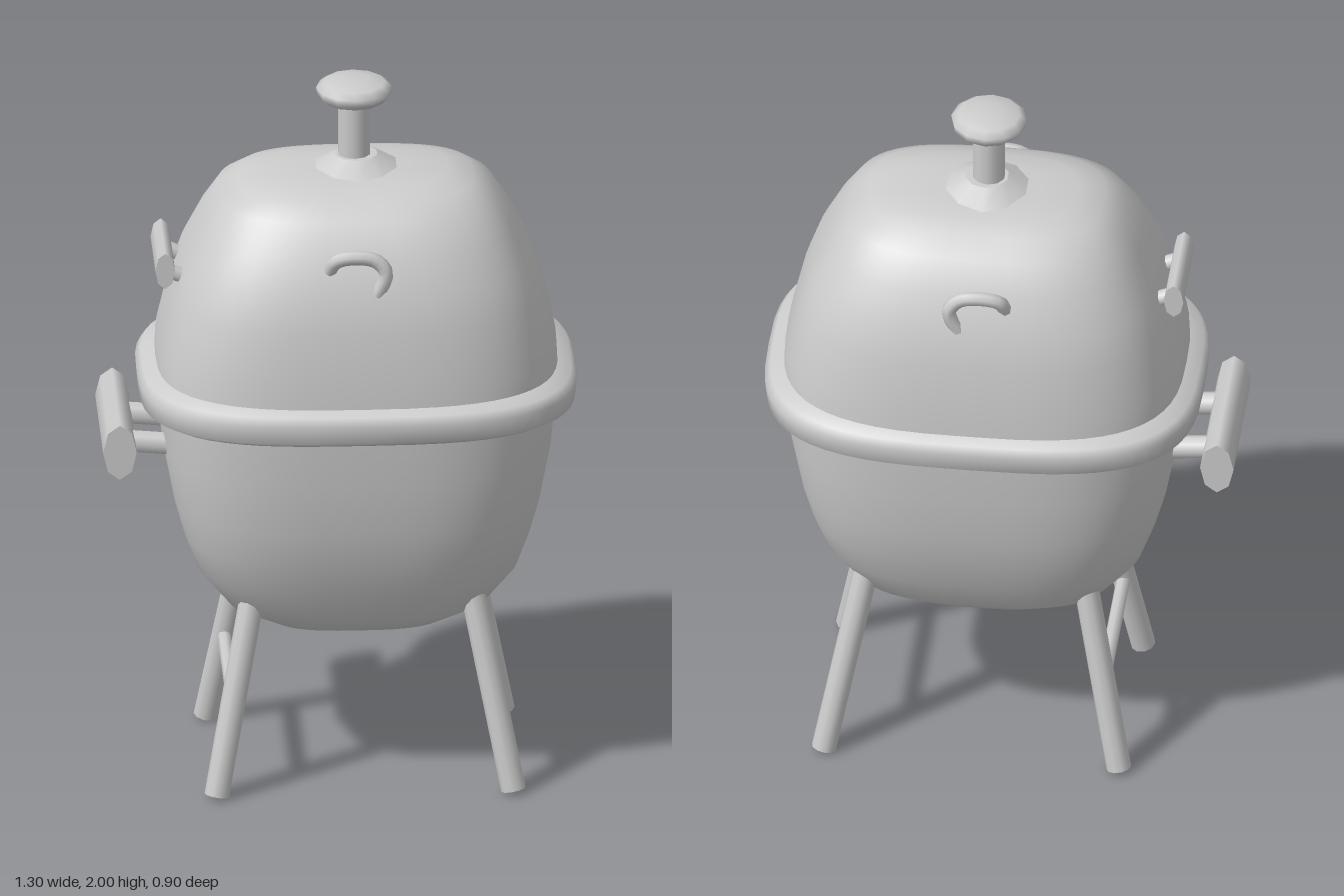
import * as THREE from 'three';

const CX = 0.05; // centre line of the kettle

// Rounded-rectangle loft: rings are [y, half width, half depth], listed bottom to top.
function loft(rings, n = 56, power = 3) {
  const pos = [], index = [];
  const s = (v) => Math.sign(v) * Math.pow(Math.abs(v), 2 / power);
  for (const [y, a, b] of rings) {
    for (let i = 0; i < n; i++) {
      const t = (i / n) * Math.PI * 2;
      pos.push(CX + a * s(Math.cos(t)), y, b * s(Math.sin(t)));
    }
  }
  for (let r = 0; r < rings.length - 1; r++) {
    for (let i = 0; i < n; i++) {
      const j = (i + 1) % n, p = r * n, q = p + n;
      index.push(p + i, q + i, p + j, p + j, q + i, q + j);
    }
  }
  const g = new THREE.BufferGeometry();
  g.setAttribute('position', new THREE.Float32BufferAttribute(pos, 3));
  g.setIndex(index);
  g.computeVertexNormals();
  return g;
}

export function createModel() {
  const group = new THREE.Group();
  const metal = new THREE.MeshStandardMaterial({ color: 0xcccccc });
  metal.name = 'light grey metal';

  const add = (name, geometry, x = 0, y = 0, z = 0) => {
    const m = new THREE.Mesh(geometry, metal);
    m.name = name;
    m.position.set(x, y, z);
    group.add(m);
    return m;
  };
  // Round bar between two points
  const bar = (name, a, b, r, sides = 10) => {
    const p = new THREE.Vector3(...a), q = new THREE.Vector3(...b);
    const m = add(name, new THREE.CylinderGeometry(r, r, p.distanceTo(q), sides));
    m.position.copy(p).lerp(q, 0.5);
    m.quaternion.setFromUnitVectors(new THREE.Vector3(0, 1, 0), q.sub(p).normalize());
    return m;
  };

  // Kettle shells
  add('bowl', loft([
    [0.43, 0.001, 0.001], [0.432, 0.15, 0.12], [0.445, 0.25, 0.19], [0.5, 0.36, 0.255],
    [0.6, 0.44, 0.305], [0.7, 0.475, 0.34], [0.8, 0.502, 0.365], [0.95, 0.53, 0.385], [1.12, 0.545, 0.395],
  ]));
  add('lid', loft([
    [1.15, 0.55, 0.41], [1.25, 0.545, 0.405], [1.4, 0.51, 0.388], [1.5, 0.475, 0.36],
    [1.6, 0.425, 0.318], [1.68, 0.375, 0.262], [1.72, 0.32, 0.205], [1.74, 0.25, 0.15],
    [1.748, 0.14, 0.09], [1.75, 0.001, 0.001],
  ]));
  add('rim', loft([
    [1.1, 0.535, 0.385], [1.09, 0.57, 0.425], [1.105, 0.596, 0.446], [1.155, 0.6, 0.45],
    [1.178, 0.585, 0.437], [1.195, 0.54, 0.395],
  ], 56, 3.1));

  // Top knob and vent
  const knob = [[0, 1.94], [0.085, 1.94], [0.1, 1.955], [0.104, 1.975], [0.085, 1.99], [0.04, 1.999], [0, 2]];
  add('knobCap', new THREE.LatheGeometry(knob.map((p) => new THREE.Vector2(...p)), 12), CX - 0.005, 0, 0);
  bar('knobStem', [CX - 0.005, 1.72, 0], [CX - 0.005, 1.95, 0], 0.045);
  add('ventCollar', new THREE.CylinderGeometry(0.06, 0.13, 0.04, 10), CX, 1.76, 0);

  // Legs and the stretchers joining each pair
  for (const [top, foot, side] of [[-0.235, -0.345, 'right'], [0.35, 0.465, 'left']]) {
    for (const s of [1, -1]) {
      bar(`${side}${s > 0 ? 'Front' : 'Back'}Leg`, [top, 0.6, 0.185 * s], [foot, 0.006, 0.285 * s], 0.034);
    }
    const x = foot + (top - foot) * 0.43;
    bar(`${side}Stretcher`, [x, 0.265, -0.24], [x, 0.265, 0.24], 0.019, 8);
  }

  // Side handle with an oval grip on two posts
  const grip = add('sideHandle', new THREE.CylinderGeometry(1, 1, 0.41, 8), -0.605, 0.99, -0.004);
  grip.rotation.x = Math.PI / 2;
  grip.scale.set(0.046, 1, 0.08);
  for (const z of [-0.1, 0.1]) {
    bar('sideHandlePost', [-0.6, 0.985, z], [-0.44, 0.97, z], 0.032, 8);
  }

  // Lid side handle
  const lidGrip = add('lidHandle', new THREE.CylinderGeometry(1, 1, 0.25, 8), -0.477, 1.49, -0.005);
  lidGrip.rotation.x = Math.PI / 2;
  lidGrip.scale.set(0.027, 1, 0.052);
  for (const z of [-0.08, 0.08]) {
    bar('lidHandlePost', [-0.475, 1.48, z], [-0.38, 1.44, z], 0.022, 8);
  }

  // Small hooked brackets on the front and back of the lid
  for (const s of [1, -1]) {
    const hook = new THREE.CatmullRomCurve3([
      [-0.04, 1.56, 0.315], [-0.02, 1.6, 0.335], [0.04, 1.612, 0.342],
      [0.09, 1.6, 0.342], [0.115, 1.565, 0.345], [0.085, 1.49, 0.34],
    ].map(([x, y, z]) => new THREE.Vector3(x, y, z * s)));
    add(s > 0 ? 'frontBracket' : 'backBracket', new THREE.TubeGeometry(hook, 16, 0.02, 8));
  }

  return group;
}
